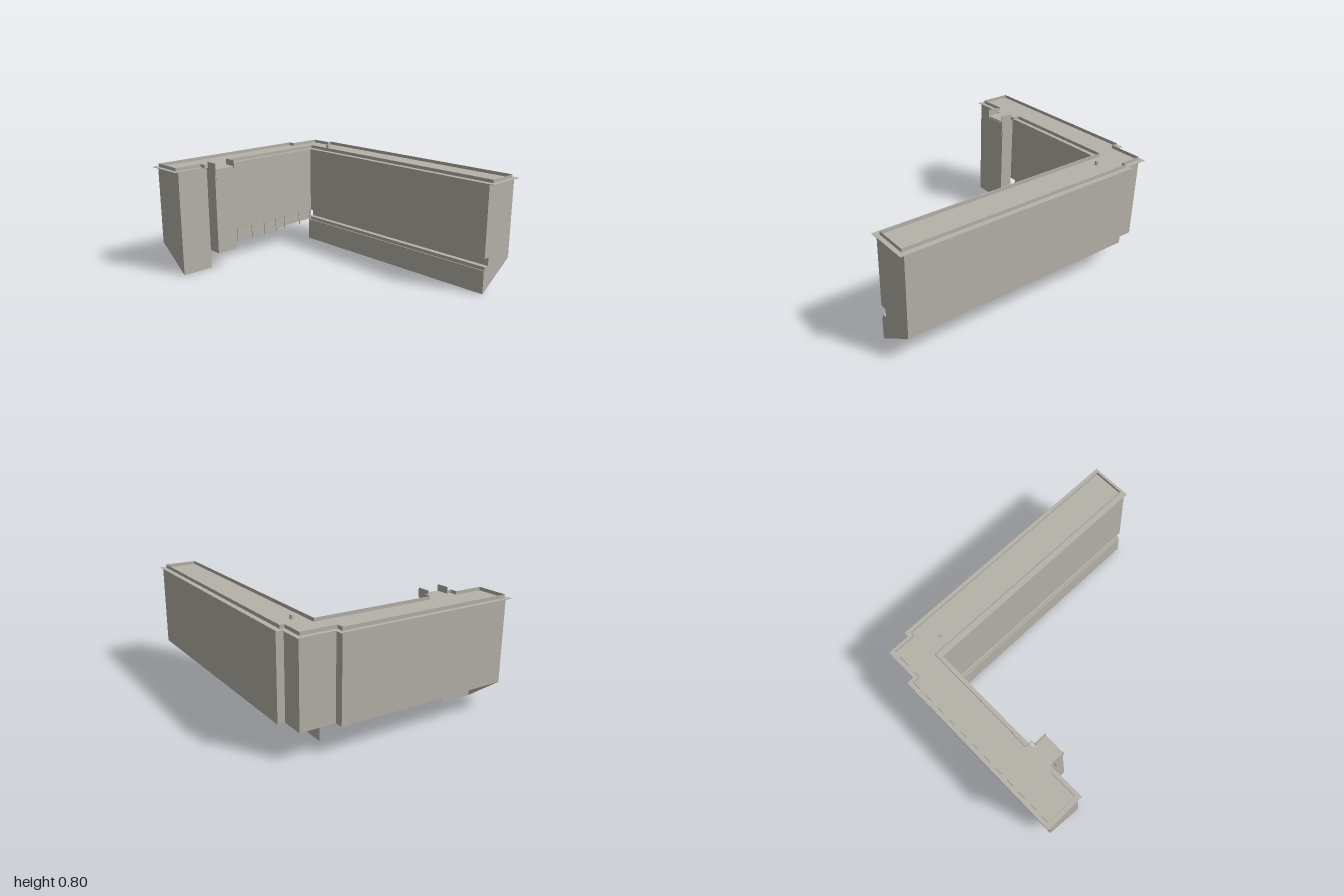
import * as THREE from 'three';

const stone = new THREE.MeshStandardMaterial({ color: 0xb5b2a9, side: THREE.DoubleSide, flatShading: true });
stone.name = 'warm grey stone';

const EAVE = 0.755;

export function createModel() {
  const group = new THREE.Group();
  group.name = 'cornerBuilding';

  function add(name, geometry) {
    const mesh = new THREE.Mesh(geometry, stone);
    mesh.name = name;
    group.add(mesh);
    return mesh;
  }

  // Open strip of quads between two matching 3D paths
  function ribbon(name, a, b) {
    const pos = [];
    for (let i = 0; i < a.length - 1; i++) {
      pos.push(...a[i], ...a[i + 1], ...b[i + 1], ...a[i], ...b[i + 1], ...b[i]);
    }
    const g = new THREE.BufferGeometry();
    g.setAttribute('position', new THREE.Float32BufferAttribute(pos, 3));
    g.computeVertexNormals();
    return add(name, g);
  }

  // Upright walls along a plan path of [x, z]; bottom may differ at each point
  function walls(name, plan, bottom, top = EAVE) {
    const low = plan.map(([x, z], i) => [x, Array.isArray(bottom) ? bottom[i] : bottom, z]);
    return ribbon(name, low, plan.map(([x, z]) => [x, top, z]));
  }

  function box(name, x0, x1, y0, y1, z0, z1) {
    const mesh = add(name, new THREE.BoxGeometry(x1 - x0, y1 - y0, z1 - z0));
    mesh.position.set((x0 + x1) / 2, (y0 + y1) / 2, (z0 + z1) / 2);
  }

  const outline = (pts) => new THREE.Shape(pts.map(([x, y]) => new THREE.Vector2(x, y)));

  // Outer walls with the stepped-in corner
  walls('outerWalls', [
    [0.77, 0.97], [0.77, -0.76], [0.72, -0.76], [0.72, -0.92],
    [0.48, -0.92], [0.48, -0.98], [-0.755, -0.98],
  ], 0.19);

  // Gable wall of the back wing, its foot following the slope
  walls('backWingEnd', [[-0.755, -0.98], [-0.755, -0.72]], [0.19, 0]);

  // Courtyard walls of the back wing
  walls('backWingInnerWallEnd', [[-0.755, -0.72], [-0.52, -0.72]], 0);
  walls('backWingInnerWall', [[-0.36, -0.72], [0.48, -0.72]], 0.25);

  // Recessed base below the courtyard wall
  const base = [[0.25, -0.72], [0.25, -0.765]];
  const basePath = (x, foot) => [...base.map(([y, z]) => [x, y, z]), [x, foot, -0.765]];
  ribbon('backWingBase', basePath(0.525, 0.16), basePath(-0.36, 0.14));

  // Long wing courtyard wall, folded into a deep groove near its foot
  const groove = [
    [0.48, EAVE], [0.48, 0.25], [0.525, 0.25], [0.525, 0.19],
    [0.488, 0.19], [0.488, 0.165], [0.48, 0.165], [0.48, 0],
  ];
  ribbon('longWingInnerWall',
    groove.map(([x, y]) => [x, y, -0.745]),
    groove.map(([x, y]) => [x, y, 0.97]));

  // End wall of the long wing, notched by the groove
  add('longWingEnd', new THREE.ShapeGeometry(outline([...groove, [0.77, 0.19], [0.77, EAVE]])))
    .position.z = 0.97;

  // Projecting bay on the back wing
  walls('bay', [[-0.52, -0.72], [-0.52, -0.62], [-0.36, -0.62], [-0.36, -0.72]], 0.135);
  const panel = outline([
    [-0.515, 0.74], [-0.515, 0.675], [-0.46, 0.675],
    [-0.395, 0.635], [-0.362, 0.635], [-0.362, 0.74],
  ]);
  add('bayPanel', new THREE.ExtrudeGeometry(panel, { depth: 0.005, bevelEnabled: false }))
    .position.z = -0.62;
  for (const x of [-0.52, -0.36]) box('bayCheek', x - 0.003, x + 0.003, 0.74, 0.8, -0.7, -0.61);

  // Thin roof slab with a small overhang
  const roof = outline([
    [-0.785, -1], [0.505, -1], [0.505, -0.95], [0.745, -0.95], [0.745, -0.79],
    [0.78, -0.79], [0.78, 1], [0.48, 1], [0.48, -0.72], [-0.36, -0.72],
    [-0.36, -0.61], [-0.52, -0.61], [-0.52, -0.72], [-0.785, -0.72],
  ].map(([x, z]) => [x, -z]));
  const slab = new THREE.ExtrudeGeometry(roof, { depth: 0.003, bevelEnabled: false });
  slab.rotateX(-Math.PI / 2);
  add('roofSlab', slab).position.y = EAVE - 0.001;

  // Low parapet, open at the bay
  walls('parapet', [
    [-0.36, -0.7], [-0.33, -0.7], [-0.33, -0.75], [0.52, -0.75], [0.52, 0.97],
    [0.745, 0.97], [0.745, -0.76], [0.715, -0.76], [0.715, -0.92], [0.475, -0.92],
    [0.475, -0.97], [-0.755, -0.97], [-0.755, -0.75], [-0.55, -0.75], [-0.55, -0.7], [-0.52, -0.7],
  ], EAVE, 0.78);

  // Roof vent
  box('roofVent', 0.593, 0.608, EAVE, 0.785, -0.65, -0.63);

  // Railing in front of the recessed base
  for (const x of [-0.27, -0.13, -0.01, 0.11, 0.2, 0.355, 0.477]) {
    box('railPost', x - 0.003, x + 0.003, 0.15, 0.25, -0.728, -0.722);
  }
  box('rail', -0.27, 0.48, 0.207, 0.213, -0.728, -0.722);

  return group;
}
